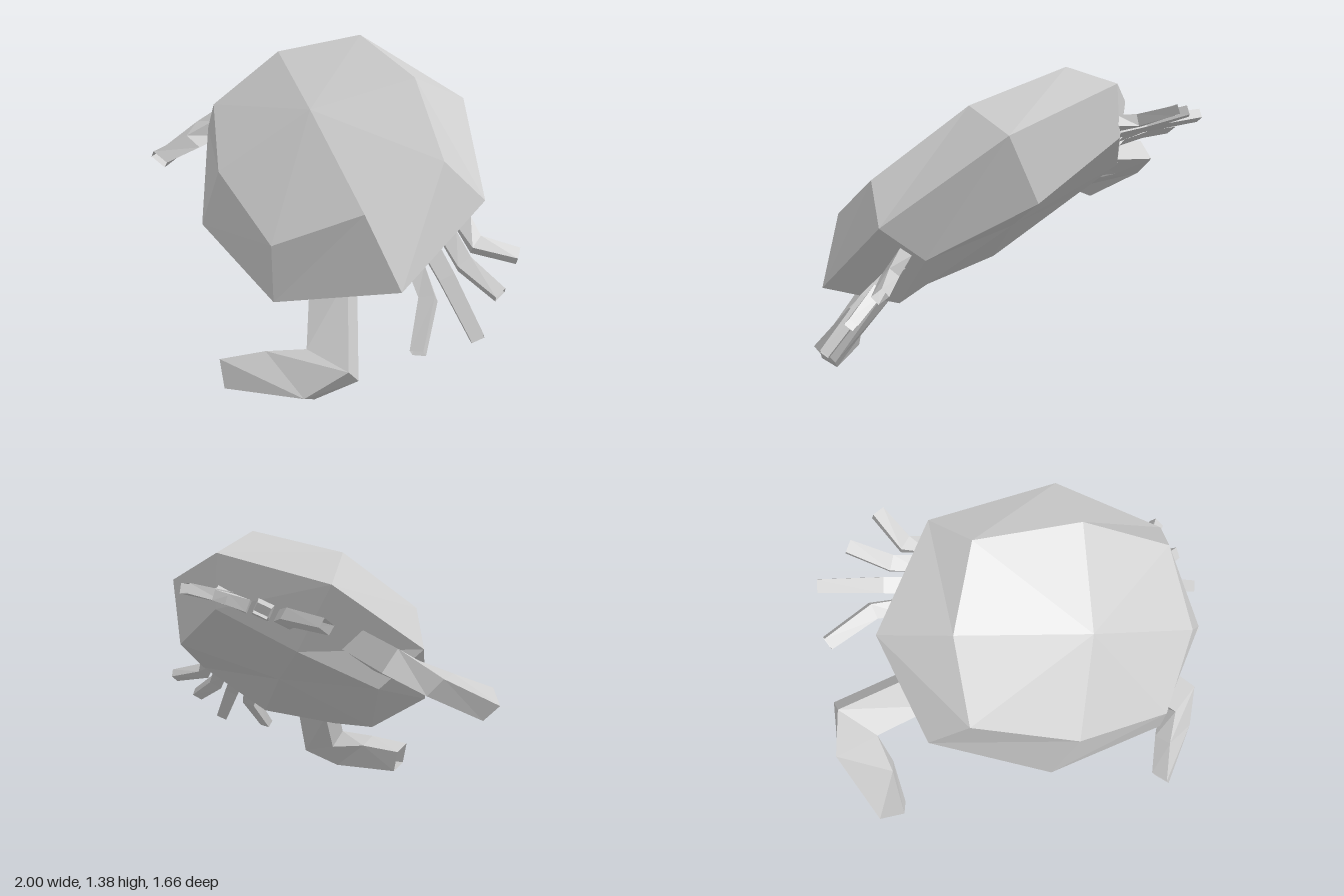
import * as THREE from 'three';

const V = (a) => new THREE.Vector3(...a);
const UP = V([0, 0.785, 0.62]);            // normal of the tilted shell
const SIDE = V([0.68, -0.453, 0.576]).normalize(); // axis from one flank to the other
const MID = V([0.11, 0.835, 0.033]);       // a point on the mirror plane

const material = new THREE.MeshStandardMaterial({
  color: 0xcccccc, flatShading: true, side: THREE.DoubleSide,
});

function reflect(p) {
  return p.clone().addScaledVector(SIDE, -2 * p.clone().sub(MID).dot(SIDE));
}

function meshFromQuads(name, quads) {
  const pos = [];
  for (const [a, b, c, d] of quads) for (const p of [a, b, c, a, c, d]) pos.push(p.x, p.y, p.z);
  const geo = new THREE.BufferGeometry();
  geo.setAttribute('position', new THREE.Float32BufferAttribute(pos, 3));
  geo.computeVertexNormals();
  const mesh = new THREE.Mesh(geo, material);
  mesh.name = name;
  return mesh;
}

// Open four-sided limb through sections of [centre, half width, half thickness]
function limb(name, sections, mirrored) {
  const rings = sections.map(([c, w, t]) => {
    const ring = [[1, 1], [-1, 1], [-1, -1], [1, -1]].map(([i, j]) =>
      c.clone().addScaledVector(w, i).addScaledVector(t, j));
    return mirrored ? ring.map(reflect).reverse() : ring;
  });
  const quads = [];
  for (let k = 0; k + 1 < rings.length; k++) {
    const a = rings[k], b = rings[k + 1];
    for (let j = 0; j < 4; j++) {
      const n = (j + 1) % 4;
      quads.push([a[j], a[n], b[n], b[j]]);
    }
  }
  return meshFromQuads(name, quads);
}

// Faceted shell: three rings of eight points closed by a centre above and below
function shell() {
  const top = [
    [0.05, 1.38, -0.34], [0.455, 1.225, -0.07], [0.725, 0.933, 0.235], [0.52, 0.752, 0.53],
    [0.165, 0.605, 0.648], [-0.235, 0.83, 0.433], [-0.515, 1.06, 0.064], [-0.3, 1.3, -0.17],
  ].map(V);
  const rim = [
    [0.04, 1.31, -0.568], [0.588, 1.118, -0.308], [0.861, 0.765, 0.12], [0.678, 0.456, 0.515],
    [0.17, 0.37, 0.642], [-0.367, 0.567, 0.38], [-0.645, 0.92, -0.068], [-0.463, 1.215, -0.45],
  ].map(V);
  const belly = [
    [0.04, 1.08, -0.582], [0.47, 0.84, -0.385], [0.715, 0.622, -0.003], [0.515, 0.38, 0.236],
    [0.18, 0.338, 0.392], [-0.238, 0.459, 0.139], [-0.515, 0.755, -0.2], [-0.3, 0.929, -0.466],
  ].map(V);
  const topCentre = V([0.11, 1.1, 0.24]);
  const bellyCentre = V([0.11, 0.68, -0.113]);
  const quads = [];
  for (let i = 0; i < 8; i++) {
    const n = (i + 1) % 8, p = (i + 7) % 8;
    quads.push([top[i], top[n], rim[n], rim[i]]);
    quads.push([rim[i], rim[n], belly[n], belly[i]]);
    if (i % 2 === 0) {
      quads.push([topCentre, top[n], top[i], top[p]]);
      quads.push([bellyCentre, belly[p], belly[i], belly[n]]);
    }
  }
  return meshFromQuads('shell', quads);
}

// Bent front claw: root, elbow, wrist, tip
const CLAW = [
  [[0.33, 0.41, 0.43], [0.078, 0.02, -0.02], [0, 0.034, 0.043]],
  [[0.425, 0.14, 0.61], [0.095, -0.03, 0], [0, 0.034, 0.043]],
  [[0.275, 0.095, 0.69], [0.095, -0.078, 0.01], [0, 0.017, 0.042]],
  [[0.035, 0.085, 0.778], [0.014, -0.058, 0.005], [0, 0.014, 0.042]],
].map((s) => s.map(V));

// Small legs: base, knee, tip
const LEGS = [
  [[0.75, 0.65, 0.07], [0.82, 0.57, 0.1], [0.985, 0.53, 0.045]],
  [[0.71, 0.59, 0.12], [0.8, 0.5, 0.17], [0.965, 0.4, 0.19]],
  [[0.67, 0.53, 0.19], [0.76, 0.45, 0.25], [0.93, 0.255, 0.34]],
  [[0.63, 0.47, 0.26], [0.71, 0.38, 0.33], [0.74, 0.21, 0.49]],
].map((l) => l.map(V));

function legSections(points) {
  return points.map((c, k) => {
    const from = points[Math.max(k - 1, 0)], to = points[Math.min(k + 1, 2)];
    const dir = to.clone().sub(from).normalize();
    const across = UP.clone().cross(dir).normalize();
    const thick = dir.clone().cross(across).normalize();
    const size = [0.036, 0.034, 0.028][k];
    return [c, across.multiplyScalar(size), thick.multiplyScalar(size * 0.75)];
  });
}

export function createModel() {
  const model = new THREE.Group();
  model.name = 'crab';
  model.add(shell());
  for (const mirrored of [false, true]) {
    const side = mirrored ? 'right' : 'left';
    model.add(limb(side + 'Claw', CLAW, mirrored));
    LEGS.forEach((leg, i) => model.add(limb(side + 'Leg' + (i + 1), legSections(leg), mirrored)));
  }
  return model;
}
